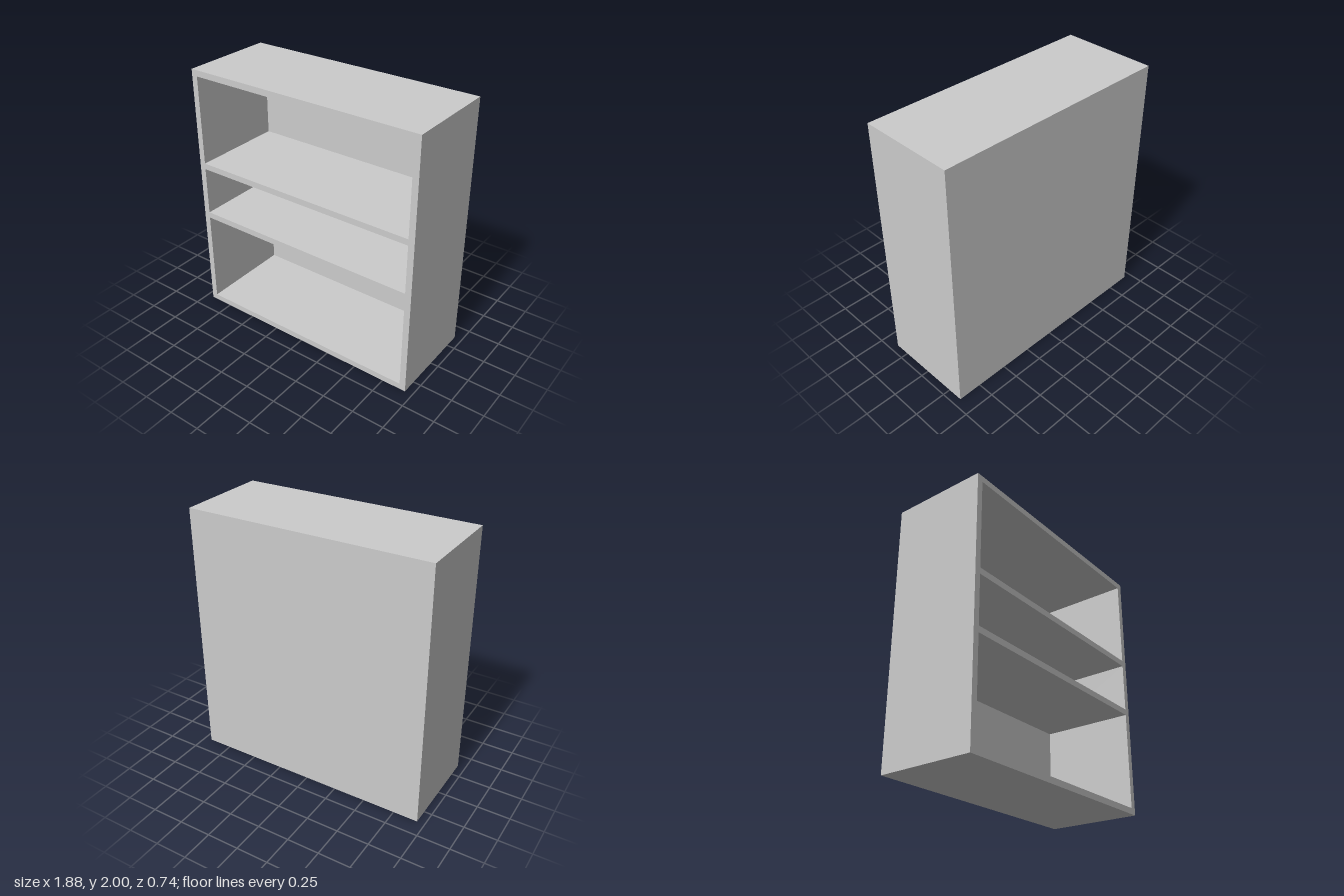
import * as THREE from 'three';

const WIDTH = 1.88, HEIGHT = 2, DEPTH = 0.74;
const BOARD = 0.047, BACK = 0.004;

// Rectangle outline, x centred, from y0 to y1
function rectPoints(width, y0, y1) {
  const h = width / 2;
  return [[-h, y0], [h, y0], [h, y1], [-h, y1]].map(([x, y]) => new THREE.Vector2(x, y));
}

export function createModel() {
  const group = new THREE.Group();
  group.name = 'bookcase';
  const material = new THREE.MeshStandardMaterial({ color: 0xcccccc });

  // Carcass and shelves: one slab pierced by the three open compartments
  const outline = new THREE.Shape(rectPoints(WIDTH, 0, HEIGHT));
  const compartments = [[BOARD, 0.793], [0.84, 1.218], [1.265, HEIGHT - BOARD]];
  for (const [y0, y1] of compartments) {
    outline.holes.push(new THREE.Path(rectPoints(WIDTH - 2 * BOARD, y0, y1)));
  }
  const frame = new THREE.Mesh(
    new THREE.ExtrudeGeometry(outline, { depth: DEPTH - BACK, bevelEnabled: false }), material);
  frame.name = 'frameAndShelves';
  frame.position.z = -DEPTH / 2 + BACK;
  group.add(frame);

  // Thin panel closing the back
  const back = new THREE.Mesh(new THREE.BoxGeometry(WIDTH, HEIGHT, BACK), material);
  back.name = 'backPanel';
  back.position.set(0, HEIGHT / 2, -DEPTH / 2 + BACK / 2);
  group.add(back);

  return group;
}
